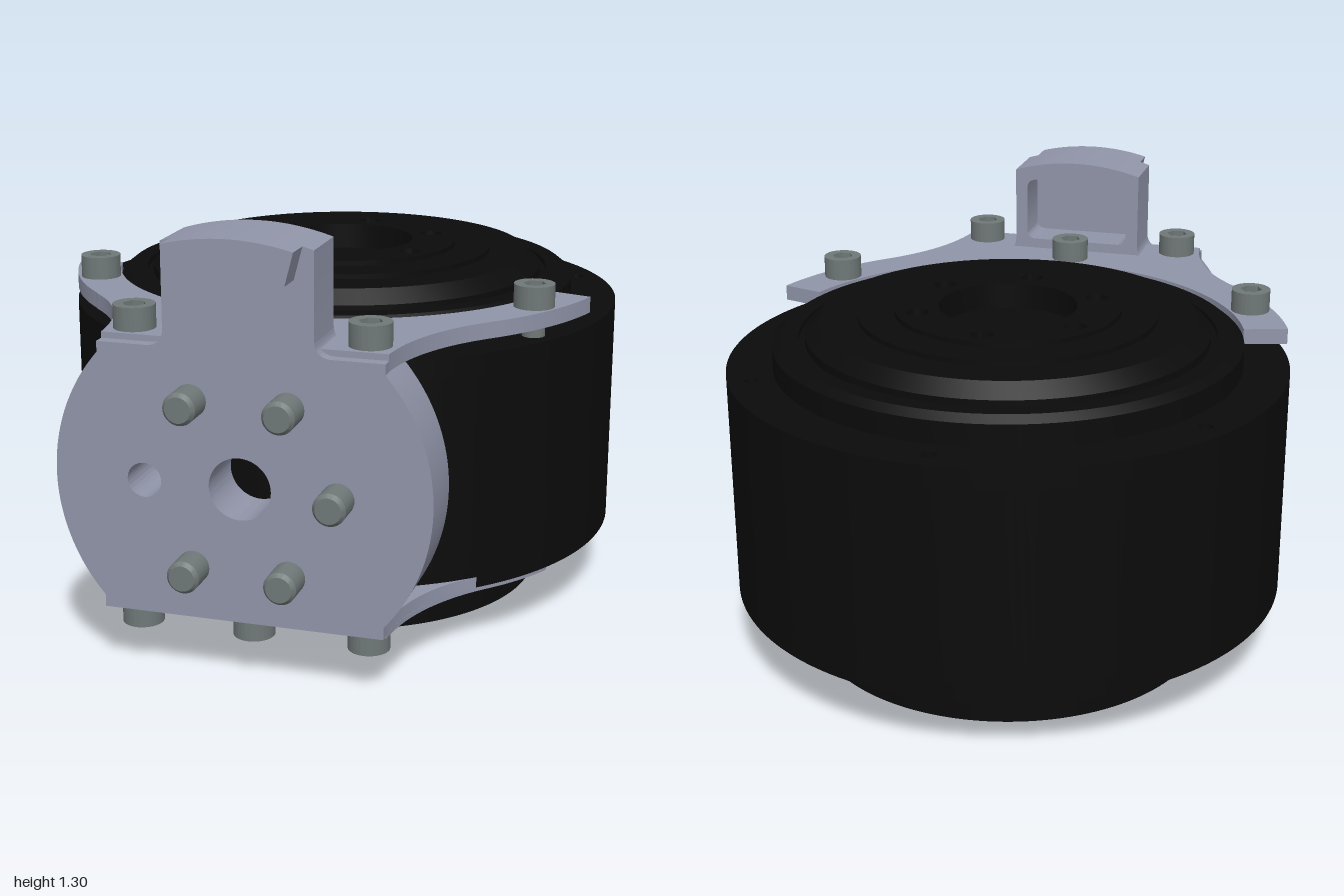
import * as THREE from 'three';
import { toCreasedNormals } from 'three/addons/utils/BufferGeometryUtils.js';

const PI = Math.PI;
const CZ = -0.145;          // motor axis z
const BOLT_R = 0.785;       // motor bolt circle
const PY = 0.59;            // front plate centre height

const black = new THREE.MeshStandardMaterial({ color: 0x0b0b0b });
const grey = new THREE.MeshStandardMaterial({ color: 0x9195a9 });
const steel = new THREE.MeshStandardMaterial({ color: 0x707878 });

function add(parent, name, geo, mat) {
  const mesh = new THREE.Mesh(toCreasedNormals(geo, 0.5), mat);
  mesh.name = name;
  parent.add(mesh);
  return mesh;
}

// Extrudes an (x, z) shape between two heights
function slab(shape, y0, y1, seg = 48) {
  const g = new THREE.ExtrudeGeometry(shape, { depth: y1 - y0, bevelEnabled: false, curveSegments: seg });
  return g.rotateX(PI / 2).translate(0, y1, 0);
}

// Extrudes an (x, y) shape between two depths
function panel(shape, z0, z1) {
  const g = new THREE.ExtrudeGeometry(shape, { depth: z1 - z0, bevelEnabled: false, curveSegments: 40 });
  return g.translate(0, 0, z0);
}

const hole = (x, y, r) => new THREE.Path().absarc(x, y, r, 0, 2 * PI, true);
const disc = (r) => new THREE.Shape().absarc(0, CZ, r, 0, 2 * PI, false);

function ringHoles(shape, radius, r) {
  for (let i = 0; i < 6; i++) {
    const a = PI / 6 + i * PI / 3;
    shape.holes.push(hole(radius * Math.cos(a), CZ + radius * Math.sin(a), r));
  }
  return shape;
}

function motor() {
  const g = new THREE.Group();
  g.name = 'motor';
  // Housing with blind bolt holes at both ends
  add(g, 'housingBottom', slab(ringHoles(disc(0.855), BOLT_R, 0.022), 0.2, 0.26, 96), black);
  add(g, 'housing', slab(disc(0.855), 0.26, 0.85, 96), black);
  add(g, 'housingTop', slab(ringHoles(disc(0.855), BOLT_R, 0.022), 0.85, 0.91, 96), black);
  // Rear cover, its lower part cut flat at the front
  add(g, 'rearCover', slab(disc(0.62), 0.115, 0.2, 96), black);
  const a = Math.asin((0.42 - CZ) / 0.62);
  const flat = new THREE.Shape().absarc(0, CZ, 0.62, PI - a, 2 * PI + a, false);
  add(g, 'rearCoverFlat', slab(flat, 0, 0.115, 96), black);
  // Stepped output side
  const steps = [[0.715, 0.91], [0.715, 0.98], [0.69, 1.0], [0.635, 1.0], [0.635, 0.985], [0.615, 0.985],
    [0.615, 1.01], [0.57, 1.05], [0.455, 1.05], [0.455, 1.065], [0.34, 1.065], [0.34, 1.0], [0, 1.0]];
  const lathe = new THREE.LatheGeometry(steps.map(([r, y]) => new THREE.Vector2(r, y)), 96);
  add(g, 'outputSteps', lathe.translate(0, 0, CZ), black);
  const flange = ringHoles(disc(0.345), 0.28, 0.034);
  flange.holes.push(hole(0, CZ, 0.21));
  add(g, 'outputFlange', slab(flange, 1.0, 1.08, 64), black);
  return g;
}

// Flared front edge shared by both bracket plates
function frontEdge(s) {
  s.quadraticCurveTo(0.43, 0.63, 0.41, 0.87);
  s.lineTo(-0.41, 0.87);
  s.quadraticCurveTo(-0.43, 0.63, -0.6, CZ + 0.61);
}

function upperPlate() {
  const a0 = 0.28, a1 = PI / 4;
  const s = new THREE.Shape();
  s.absarc(0, CZ, 0.853, a0, a1, false);
  frontEdge(s);
  s.absarc(0, CZ, 0.853, PI - a1, PI - a0, false);
  s.absarc(0, CZ, 0.718, PI - a0, a0, true);
  return s;
}

function lowerPlate() {
  const a = PI / 6, a1 = PI / 4;
  const hx = BOLT_R * Math.cos(a), hz = CZ + BOLT_R * Math.sin(a);
  const s = new THREE.Shape();
  s.absarc(hx, hz, 0.062, a - PI, a, false);
  s.absarc(0, CZ, 0.847, a, a1, false);
  frontEdge(s);
  s.absarc(0, CZ, 0.847, PI - a1, PI - a, false);
  s.absarc(-hx, hz, 0.062, PI - a, 2 * PI - a, false);
  s.absarc(0, CZ, 0.723, PI - a, a, true);
  s.holes.push(hole(hx, hz, 0.03), hole(-hx, hz, 0.03));
  return s;
}

// Thicker lower rim lying outside the housing
function lowerRim() {
  const a = 0.832;
  const s = new THREE.Shape();
  s.moveTo(0.579, CZ + 0.636);
  s.quadraticCurveTo(0.43, 0.63, 0.41, 0.87);
  s.lineTo(-0.41, 0.87);
  s.quadraticCurveTo(-0.43, 0.63, -0.579, CZ + 0.636);
  s.absarc(0, CZ, 0.86, PI - a, a, true);
  return s;
}

function frontPlate() {
  const a = Math.acos(0.41 / 0.545), t = Math.acos(0.215 / 0.715);
  const s = new THREE.Shape();
  s.moveTo(-0.41, 0.195);
  s.lineTo(0.41, 0.195);
  s.absarc(0, PY, 0.545, -a, a, false);
  s.lineTo(0.41, 0.98);
  s.lineTo(0.265, 0.98);
  s.quadraticCurveTo(0.215, 0.98, 0.215, 1.03);
  s.absarc(0, PY, 0.715, t, PI - t, false);
  s.lineTo(-0.215, 1.03);
  s.quadraticCurveTo(-0.215, 0.98, -0.265, 0.98);
  s.lineTo(-0.41, 0.98);
  s.absarc(0, PY, 0.545, PI - a, PI + a, false);
  s.holes.push(hole(0, PY, 0.09), hole(-0.28, PY, 0.05));
  return s;
}

function roundedPocket(w, y0, y1, r) {
  const p = new THREE.Path();
  p.absarc(w - r, y0 + r, r, -PI / 2, 0, false);
  p.absarc(w - r, y1 - r, r, 0, PI / 2, false);
  p.absarc(r - w, y1 - r, r, PI / 2, PI, false);
  p.absarc(r - w, y0 + r, r, PI, 1.5 * PI, false);
  p.closePath();
  return p;
}

function bracket() {
  const g = new THREE.Group();
  g.name = 'bracket';
  add(g, 'upperPlate', slab(upperPlate(), 0.95, 0.998), grey);
  add(g, 'lowerPlate', slab(lowerPlate(), 0.185, 0.199), grey);
  add(g, 'lowerRim', slab(lowerRim(), 0.199, 0.235), grey);
  // Front plate, with the tab hollowed from behind
  add(g, 'frontPlate', panel(frontPlate(), 0.86, 0.905), grey);
  const back = frontPlate();
  back.holes.push(roundedPocket(0.175, 1.03, 1.24, 0.03));
  add(g, 'frontPlateBack', panel(back, 0.725, 0.86), grey);
  // Curved lip on the tab
  const lip = new THREE.Shape();
  lip.absarc(0, PY, 0.715, PI / 2 - 0.26, PI / 2 + 0.26, false);
  lip.absarc(0, PY, 0.62, PI / 2 + 0.26, PI / 2 - 0.26, true);
  add(g, 'tabLip', panel(lip, 0.9, 0.985), grey);
  return g;
}

// Socket head with a hexagonal recess, standing on its origin
function socketHead() {
  const g = new THREE.Group();
  g.name = 'socketScrew';
  const s = new THREE.Shape().absarc(0, 0, 0.06, 0, 2 * PI, false);
  const hex = [];
  for (let i = 0; i < 6; i++) hex.push(new THREE.Vector2(0.034 * Math.cos(i * PI / 3), 0.034 * Math.sin(i * PI / 3)));
  s.holes.push(new THREE.Path(hex));
  add(g, 'screwHead', slab(s, 0, 0.068, 32), steel);
  add(g, 'socketFloor', new THREE.CylinderGeometry(0.05, 0.05, 0.03, 24).translate(0, 0.015, 0), steel);
  return g;
}

export function createModel() {
  const model = new THREE.Group();
  model.name = 'motorWithBracket';
  model.add(motor(), bracket());

  // Upper screws, with spacers where they enter the motor
  for (const [x, z, spacer] of [[0.68, 0.247, 1], [-0.68, 0.247, 1], [0, 0.64, 1], [0.34, 0.797, 0], [-0.34, 0.797, 0]]) {
    const screw = socketHead();
    screw.position.set(x, 0.998, z);
    model.add(screw);
    if (spacer) add(model, 'spacer', new THREE.CylinderGeometry(0.034, 0.034, 0.06, 24).translate(x, 0.93, z), steel);
  }
  // Lower screws
  for (const [x, z] of [[-0.68, 0.247], [-0.34, 0.797], [0, 0.797], [0.34, 0.797]]) {
    const screw = socketHead();
    screw.rotation.x = PI;
    screw.position.set(x, 0.185, z);
    model.add(screw);
  }
  // Front studs around the central hole
  const profile = [[0, 0.73], [0.047, 0.73], [0.047, 0.988], [0.037, 1.0], [0, 1.0]].map(([r, y]) => new THREE.Vector2(r, y));
  for (const deg of [0, 60, 120, 240, 300]) {
    const a = deg * PI / 180;
    const stud = new THREE.LatheGeometry(profile, 32).rotateX(PI / 2);
    add(model, 'frontStud', stud.translate(0.28 * Math.cos(a), PY + 0.28 * Math.sin(a), 0), steel);
  }
  return model;
}
